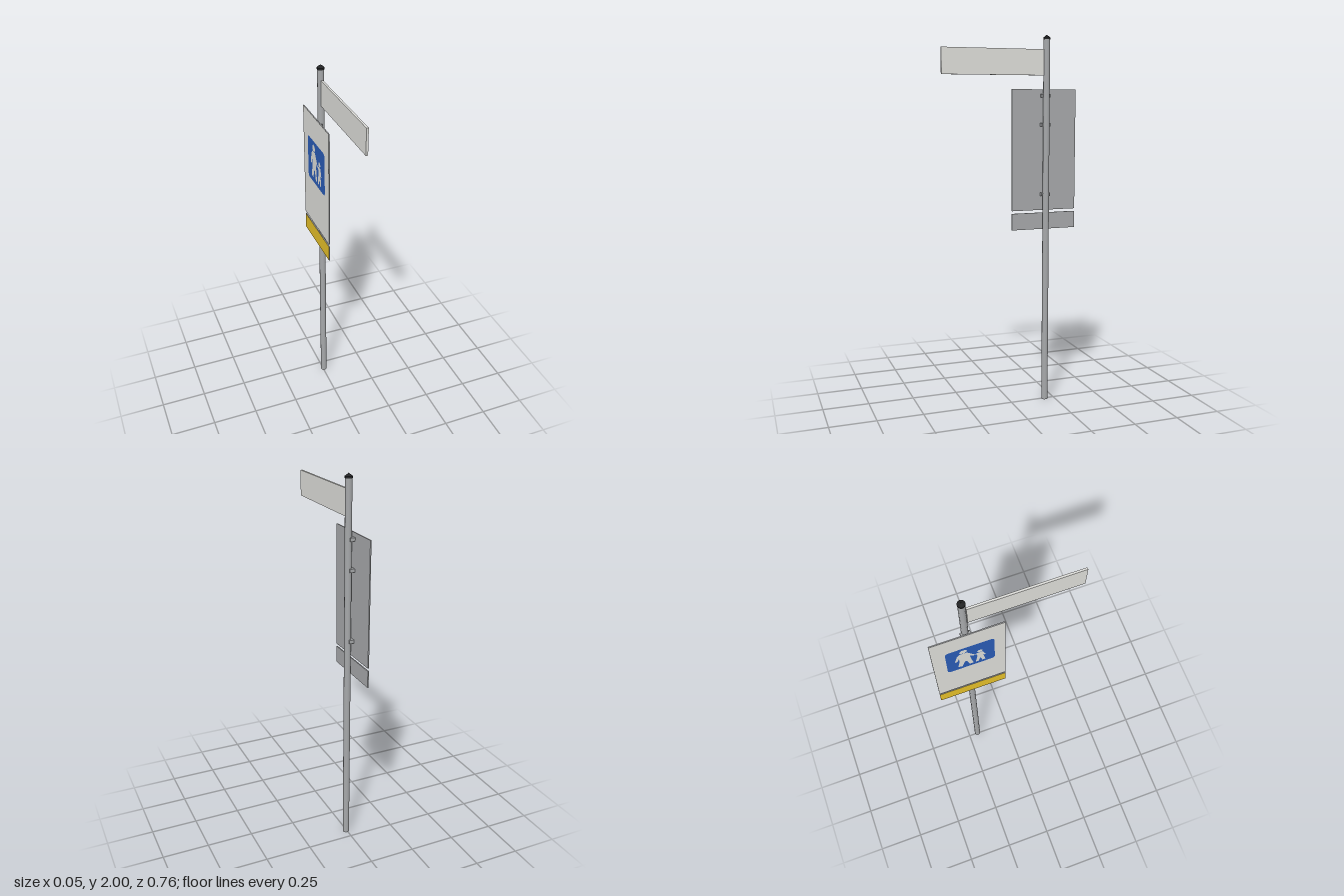
import * as THREE from 'three';

const mat = (name, color) => Object.assign(new THREE.MeshStandardMaterial({ color }), { name });

export function createModel() {
  const steel = mat('galvanised steel', 0xa6a8aa);
  const white = mat('sign white', 0xdededa);
  const blue = mat('sign blue', 0x2a5bb5);
  const yellow = mat('sign yellow', 0xe6c02a);
  const black = mat('cap black', 0x222324);

  const group = new THREE.Group();
  const px = 0.005, pz = -0.195; // pole axis
  const add = (name, geo, material, x, y, z) => {
    const mesh = new THREE.Mesh(geo, material);
    mesh.name = name;
    mesh.position.set(x, y, z);
    group.add(mesh);
    return mesh;
  };

  // Pole with a pointed cap
  add('pole', new THREE.CylinderGeometry(0.0175, 0.0175, 1.98, 12), steel, px, 0.99, pz);
  const cap = [[0, 1.976], [0.0188, 1.976], [0.0188, 1.986], [0.012, 1.991], [0, 2]];
  const capMat = black;
  capMat.flatShading = true;
  add('poleCap', new THREE.LatheGeometry(cap.map(([r, y]) => new THREE.Vector2(r, y)), 12), capMat, px, 0, pz);

  // Street blade pointing forward
  add('streetBlade', new THREE.BoxGeometry(0.011, 0.135, 0.557), white, 0.0045, 1.8575, 0.1015);

  // Panels: steel with a coloured face on the -x side
  const panel = (name, y0, y1, face) => add(name, new THREE.BoxGeometry(0.006, y1 - y0, 0.366),
    [steel, face, steel, steel, steel, steel], -0.0235, (y0 + y1) / 2, -0.193);
  panel('mainSign', 1.07, 1.718, white);
  panel('lowerPlate', 0.965, 1.055, yellow);

  // Clamps holding the sign to the pole
  for (const y of [1.685, 1.53, 1.157]) {
    add('clamp', new THREE.BoxGeometry(0.0255, 0.018, 0.049), steel, -0.008, y, pz);
  }

  // Flat decals on the sign face; shape x runs along z, shape y is up
  const decal = (name, shape, material, layer) => {
    const geo = new THREE.ShapeGeometry(shape, 8);
    geo.rotateY(-Math.PI / 2);
    add(name, geo, material, -0.0265 - layer * 0.0007, 1.458, -0.188);
  };
  const h = 0.122, r = 0.02;
  const square = new THREE.Shape();
  square.moveTo(-h + r, -h);
  square.absarc(h - r, -h + r, r, -Math.PI / 2, 0);
  square.absarc(h - r, h - r, r, 0, Math.PI / 2);
  square.absarc(-h + r, h - r, r, Math.PI / 2, Math.PI);
  square.absarc(-h + r, -h + r, r, Math.PI, Math.PI * 1.5);
  decal('blueSquare', square, blue, 1);

  // Adult and child walking hand in hand
  const outline = (pts) => new THREE.Shape(pts.map(([x, y]) => new THREE.Vector2(x, y)));
  const disc = (x, y, rad) => new THREE.Shape().absarc(x, y, rad, 0, Math.PI * 2);
  decal('adultHead', disc(-0.034, 0.083, 0.019), white, 2);
  decal('adultBody', outline([
    [-0.052, 0.062], [-0.016, 0.062], [-0.002, 0.04], [0.022, 0.002], [0.014, -0.008], [-0.004, 0.012],
    [0.002, -0.04], [0.012, -0.096], [-0.008, -0.096], [-0.02, -0.045], [-0.03, -0.045], [-0.046, -0.096],
    [-0.068, -0.09], [-0.058, -0.035], [-0.058, 0.01], [-0.07, -0.022], [-0.081, -0.018], [-0.068, 0.04],
  ]), white, 2);
  decal('childHead', disc(0.048, 0.027, 0.014), white, 2);
  decal('childBody', outline([
    [0.034, 0.01], [0.062, 0.01], [0.076, -0.035], [0.068, -0.038], [0.062, -0.022], [0.072, -0.096],
    [0.056, -0.096], [0.048, -0.055], [0.038, -0.096], [0.022, -0.096], [0.033, -0.03], [0.032, -0.01],
    [0.018, 0.006], [0.013, -0.002],
  ]), white, 2);

  return group;
}
